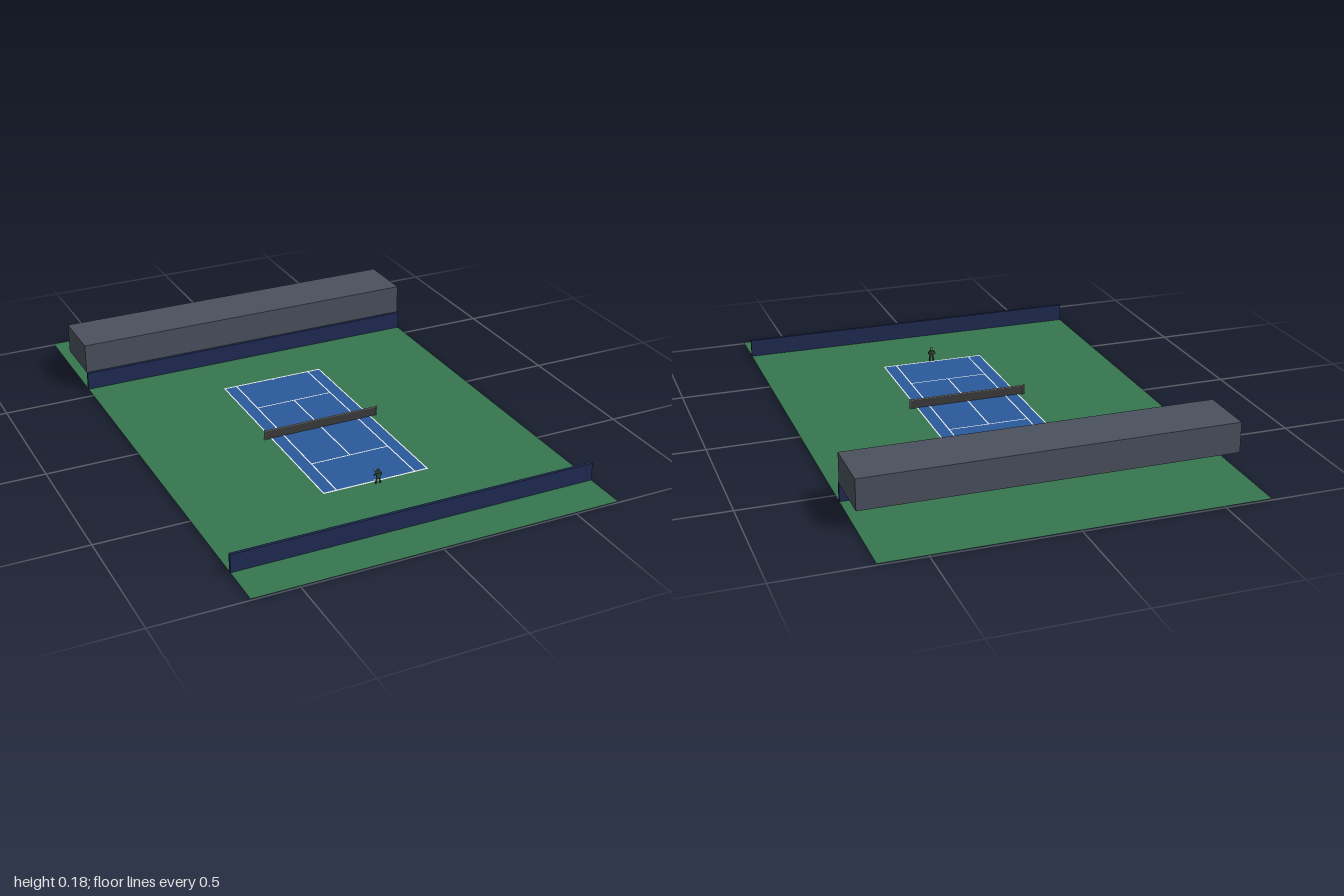
import * as THREE from 'three';

const mat = (name, color, side = THREE.FrontSide) => {
  const m = new THREE.MeshStandardMaterial({ color, side });
  m.name = name;
  return m;
};

export function createModel() {
  const model = new THREE.Group();
  model.name = 'tennisCourt';

  const green = mat('surroundGreen', 0x37764f, THREE.DoubleSide);
  const blue = mat('courtBlue', 0x2a5a9c);
  const white = mat('lineWhite', 0xe8e8e8);
  const navy = mat('wallNavy', 0x1f2a52);
  const grey = mat('standGrey', 0x4a505d);
  const netDark = mat('netDark', 0x3a3a3c);
  const postGrey = mat('postGrey', 0x8c8c8a);
  const kit = mat('kitGreen', 0x2a5540);
  const dark = mat('hairAndShoes', 0x1c2428);
  const skin = mat('skin', 0xb98a68);

  const add = (parent, name, geometry, material, x, y, z) => {
    const m = new THREE.Mesh(geometry, material);
    m.name = name;
    m.position.set(x, y, z);
    parent.add(m);
    return m;
  };
  const box = (parent, name, material, w, h, d, x, y, z) =>
    add(parent, name, new THREE.BoxGeometry(w, h, d), material, x, y, z);
  const flat = (parent, name, material, w, d, x, y, z) =>
    add(parent, name, new THREE.PlaneGeometry(w, d).rotateX(-Math.PI / 2), material, x, y, z);

  const G = 0.005;    // ground level, shoes reach slightly below
  const W = 1.333;    // full width
  const CZ = 0.105;   // net position

  // Ground and court
  flat(model, 'ground', green, W, 2, 0, G, 0);
  const court = new THREE.Group();
  court.name = 'court';
  court.position.set(0, G, CZ);
  model.add(court);
  flat(court, 'courtSurface', blue, 0.4, 0.866, 0, 0.001, 0);

  // Painted lines
  const L = 0.005, LY = 0.002;
  for (const s of [-1, 1]) {
    flat(court, 'doublesLine', white, L, 0.87, s * 0.1985, LY, 0);
    flat(court, 'singlesLine', white, L, 0.866, s * 0.15, LY, 0);
    flat(court, 'baseline', white, 0.402, 0.007, 0, LY, s * 0.432);
    flat(court, 'serviceLine', white, 0.3, L, 0, LY, s * 0.233);
    flat(court, 'centreMark', white, L, 0.008, 0, LY, s * 0.425);
  }
  flat(court, 'centreServiceLine', white, L, 0.466, 0, LY, 0);

  // Net with top band and posts
  box(court, 'net', netDark, 0.444, 0.033, 0.002, 0, 0.0165, 0);
  box(court, 'netBand', postGrey, 0.444, 0.003, 0.003, 0, 0.0345, 0);
  for (const s of [-1, 1])
    add(court, 'netPost', new THREE.CylinderGeometry(0.003, 0.003, 0.038, 8), postGrey, s * 0.224, 0.019, 0);

  // End walls and raised stand
  box(model, 'frontWall', navy, W, 0.066, 0.011, 0, G + 0.033, 0.838);
  box(model, 'backWall', navy, W, 0.066, 0.011, 0, G + 0.033, -0.554);
  box(model, 'stand', grey, W, 0.111, 0.211, 0, 0.1265, -0.6655);

  // Player facing the net
  const player = new THREE.Group();
  player.name = 'player';
  player.position.set(0, 0, 0.55);
  model.add(player);
  const limb = (name, material, a, b, r) => {
    const p = new THREE.Vector3(...a), q = new THREE.Vector3(...b);
    const d = q.clone().sub(p);
    const m = add(player, name, new THREE.CylinderGeometry(r, r, d.length(), 8), material, 0, 0, 0);
    m.position.copy(p.add(q).multiplyScalar(0.5));
    m.quaternion.setFromUnitVectors(new THREE.Vector3(0, 1, 0), d.normalize());
  };
  for (const s of [-1, 1]) {
    box(player, 'shoe', dark, 0.006, 0.005, 0.011, s * 0.008, 0.0025, -0.002);
    limb('leg', kit, [s * 0.008, 0.004, 0], [s * 0.005, 0.028, 0], 0.0034);
    limb('upperArm', kit, [s * 0.01, 0.045, 0], [s * 0.014, 0.035, -0.003], 0.0026);
    limb('forearm', skin, [s * 0.014, 0.035, -0.003], [s * 0.004, 0.036, -0.014], 0.002);
  }
  const torso = add(player, 'torso', new THREE.CylinderGeometry(0.0095, 0.0075, 0.022, 10), kit, 0, 0.037, 0);
  torso.scale.z = 0.75;
  add(player, 'head', new THREE.SphereGeometry(0.0055, 12, 8), skin, 0, 0.054, -0.001);
  add(player, 'hair', new THREE.SphereGeometry(0.006, 12, 6, 0, Math.PI * 2, 0, Math.PI / 2), dark, 0, 0.0545, 0);

  // Racket
  limb('racketHandle', dark, [0.002, 0.036, -0.012], [0, 0.039, -0.024], 0.001);
  const hoop = add(player, 'racketHoop', new THREE.TorusGeometry(0.005, 0.0008, 6, 16), white, 0, 0.041, -0.0295);
  hoop.rotation.x = Math.PI / 2 + 0.3;

  return model;
}
